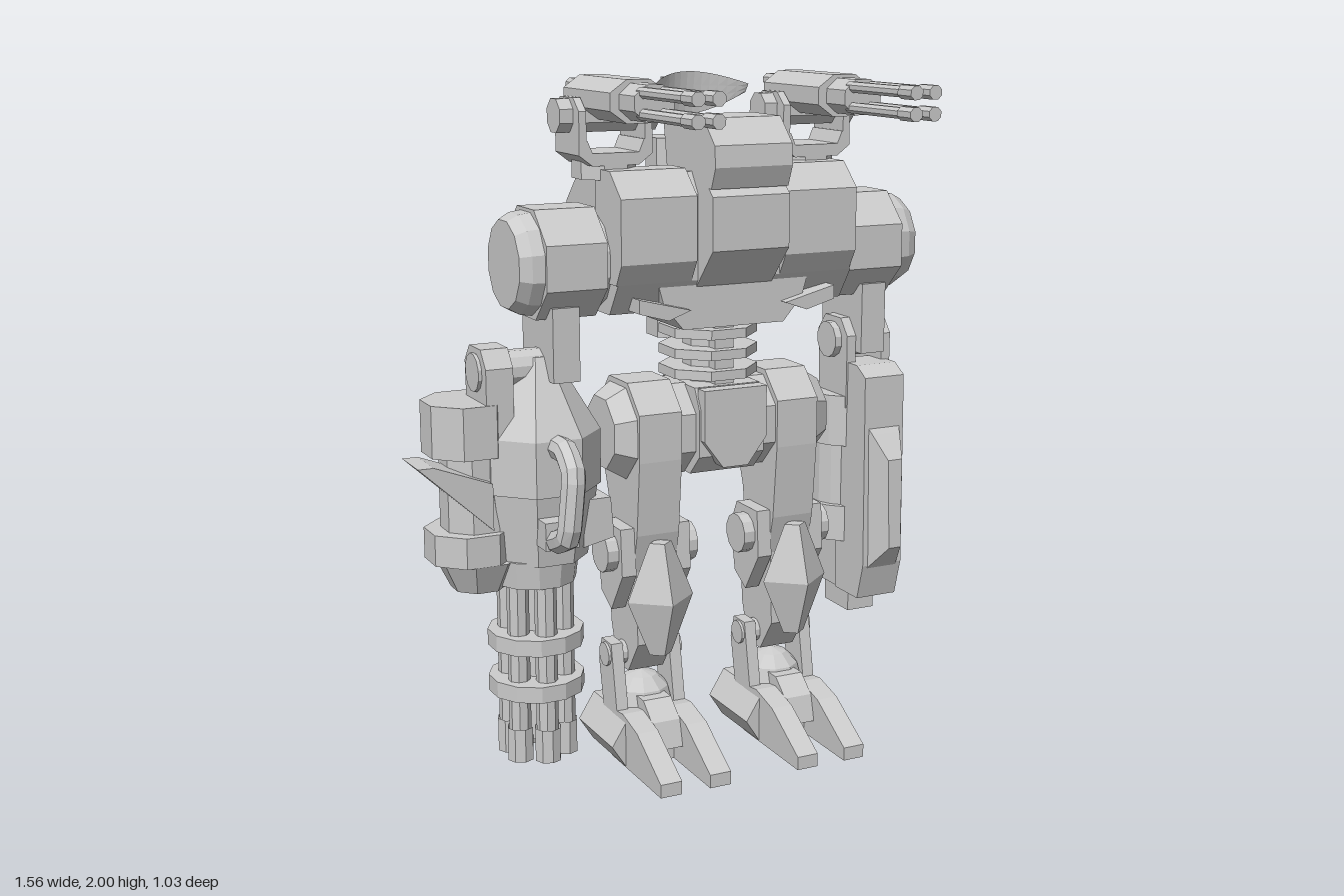
import * as THREE from 'three';

const mat = new THREE.MeshStandardMaterial({ color: 0xcccccc, flatShading: true, side: THREE.DoubleSide });
const CX = 0.1425; // body axis
const CZ = -0.135; // joint axis depth

export function createModel() {
  const root = new THREE.Group();
  root.name = 'walkerRobot';
  let parent = root;

  const group = (name) => {
    parent = new THREE.Group();
    parent.name = name;
    root.add(parent);
    return parent;
  };
  const add = (name, geo, x = 0, y = 0, z = 0) => {
    const m = new THREE.Mesh(geo, mat);
    m.name = name;
    m.position.set(x, y, z);
    parent.add(m);
    return m;
  };
  // box from its limits
  const box = (name, x0, x1, y0, y1, z0, z1) =>
    add(name, new THREE.BoxGeometry(Math.abs(x1 - x0), y1 - y0, z1 - z0), (x0 + x1) / 2, (y0 + y1) / 2, (z0 + z1) / 2);
  const extrude = (pts, depth) =>
    new THREE.ExtrudeGeometry(new THREE.Shape(pts.map((p) => new THREE.Vector2(...p))), { depth, bevelEnabled: false });
  // side profile [z, y] swept along x
  const prismX = (name, pts, x0, x1) =>
    add(name, extrude(pts, Math.abs(x1 - x0)).rotateY(-Math.PI / 2), Math.max(x0, x1));
  // front profile [x, y] swept along z
  const prismZ = (name, pts, z0, z1) => add(name, extrude(pts, z1 - z0), 0, 0, z0);
  // cylinders along each axis; r0 belongs to the first limit, r1 to the second
  const cylY = (name, r0, r1, y0, y1, x, z, n = 8) =>
    add(name, new THREE.CylinderGeometry(r1, r0, y1 - y0, n, 1, false, Math.PI / n), x, (y0 + y1) / 2, z);
  const cylX = (name, r0, r1, x0, x1, y, z, n = 8) => {
    const [a, b, ra, rb] = x0 < x1 ? [x0, x1, r0, r1] : [x1, x0, r1, r0];
    return add(name, new THREE.CylinderGeometry(rb, ra, b - a, n, 1, false, Math.PI / n).rotateZ(-Math.PI / 2), (a + b) / 2, y, z);
  };
  const cylZ = (name, r0, r1, z0, z1, x, y, n = 8) =>
    add(name, new THREE.CylinderGeometry(r1, r0, z1 - z0, n, 1, false, Math.PI / n).rotateX(Math.PI / 2), x, y, (z0 + z1) / 2);

  // ---- torso ----
  group('torso');
  prismX('torsoCore', [[0.0, 1.74], [-0.24, 1.72], [-0.32, 1.64], [-0.32, 1.43], [-0.25, 1.35], [-0.02, 1.35], [0.04, 1.44], [0.04, 1.68]], CX - 0.365, CX + 0.375);
  for (const s of [-1, 1])
    prismX('chestBlock', [[0.0, 1.75], [0.075, 1.68], [0.075, 1.5], [0.04, 1.44], [-0.1, 1.44], [-0.1, 1.75]], CX + s * 0.14, CX + s * 0.37);
  prismX('chestPlate', [[0.06, 1.74], [0.13, 1.68], [0.13, 1.53], [0.03, 1.42], [-0.1, 1.42], [-0.1, 1.74]], CX - 0.12, CX + 0.12);
  prismZ('belly', [[CX - 0.24, 1.44], [CX + 0.24, 1.44], [CX + 0.22, 1.37], [CX + 0.16, 1.3], [CX - 0.16, 1.3], [CX - 0.22, 1.37]], -0.25, 0.03);
  for (const s of [-1, 1])
    prismZ('bellyFin', [[CX + s * 0.15, 1.36], [CX + s * 0.31, 1.4], [CX + s * 0.31, 1.36], [CX + s * 0.22, 1.335]], -0.02, 0.06);
  cylY('neck', 0.1, 0.1, 1.72, 1.78, CX, -0.1);
  prismX('head', [[0.07, 1.89], [0.14, 1.82], [0.145, 1.76], [0.12, 1.7], [-0.16, 1.74], [-0.18, 1.86], [-0.1, 1.89]], CX - 0.12, CX + 0.12);

  // ---- back pack with guard rails and antenna ----
  group('backPack');
  cylY('packColumn', 0.1, 0.1, 1.22, 1.81, CX, -0.325);
  cylY('packBody', 0.145, 0.145, 1.36, 1.66, CX, -0.315);
  for (const s of [-1, 1]) box('packMount', CX + s * 0.12, CX + s * 0.28, 1.4, 1.64, -0.36, -0.28);
  for (const y of [1.445, 1.585]) {
    const pts = [[-0.2, -0.3], [-0.2, -0.42], [-0.14, -0.485], [0.14, -0.485], [0.2, -0.42], [0.2, -0.3]];
    const path = new THREE.CurvePath();
    const v = pts.map((p) => new THREE.Vector3(CX + p[0], y, p[1]));
    for (let i = 0; i < 5; i++) path.add(new THREE.LineCurve3(v[i], v[i + 1]));
    add('guardRail', new THREE.TubeGeometry(path, 40, 0.031, 8));
  }
  cylY('mast', 0.026, 0.026, 1.8, 1.95, CX, -0.34);
  box('mastHead', CX - 0.035, CX + 0.035, 1.9, 1.98, -0.38, -0.3);
  // curved antenna panel
  const dish = new THREE.PlaneGeometry(2, 1, 14, 3);
  const p = dish.attributes.position;
  for (let i = 0; i < p.count; i++) {
    const u = p.getX(i), t = p.getY(i) + 0.5, k = 1 - u * u;
    p.setXYZ(i, CX + u * 0.152, THREE.MathUtils.lerp(1.94 - 0.065 * k, 1.965 + 0.035 * k, t), -0.2 - 0.09 * k + 0.02 * t);
  }
  add('antennaDish', dish);

  // ---- shoulder guns ----
  for (const s of [-1, 1]) {
    const x = CX - 0.01 + s * 0.3175, y = 1.942;
    group('shoulderGun');
    cylZ('gunBody', 0.09, 0.09, -0.22, 0.1, x, y).scale.y = 0.7;
    cylZ('gunCollar', 0.062, 0.062, 0.1, 0.2, x, y).scale.y = 0.85;
    for (const [a, b] of [[-1, -1], [1, -1], [-1, 1], [1, 1]]) {
      const bx = x + a * 0.029, by = y + b * 0.028;
      cylZ('gunBarrel', 0.016, 0.016, 0.18, 0.48, bx, by);
      cylZ('gunMuzzle', 0.02, 0.02, 0.45, 0.515, bx, by);
      cylZ('gunBreech', 0.02, 0.02, -0.29, -0.2, bx, by);
    }
    cylX('gunPivot', 0.05, 0.05, x - 0.15, x + 0.15, 1.895, CZ);
    for (const t of [-1, 1])
      prismX('gunBracket', [[-0.05, 1.91], [-0.09, 1.945], [-0.18, 1.945], [-0.22, 1.91], [-0.22, 1.8], [-0.05, 1.8]], x + t * 0.088, x + t * 0.11);
    prismZ('gunYoke', [[x - 0.11, 1.83], [x - 0.11, 1.79], [x - 0.07, 1.76], [x + 0.07, 1.76], [x + 0.11, 1.79], [x + 0.11, 1.83], [x + 0.085, 1.83], [x + 0.07, 1.795], [x - 0.07, 1.795], [x - 0.085, 1.83]], -0.22, -0.05);
    cylY('gunBase', 0.09, 0.09, 1.72, 1.77, x, CZ);
  }

  // ---- shoulders and upper arms ----
  for (const s of [-1, 1]) {
    group(s > 0 ? 'leftShoulder' : 'rightShoulder');
    const at = (d) => CX + s * d;
    cylX('shoulderJoint', 0.14, 0.14, at(0.35), at(0.4), 1.495, CZ, 12);
    cylX('shoulderDrum', 0.165, 0.165, at(0.385), at(0.565), 1.495, CZ, 8);
    cylX('shoulderCap', 0.148, 0.143, at(0.565), at(0.6), 1.495, CZ, 12);
    cylX('shoulderFace', 0.143, 0.125, at(0.6), at(0.632), 1.495, CZ, 12);
    box('upperArm', at(0.455), at(0.535), 1.17, 1.38, -0.25, -0.02);
  }

  const elbowPlate = [[-0.05, 1.0], [-0.05, 1.22], [-0.09, 1.27], [-0.18, 1.27], [-0.22, 1.22], [-0.21, 1.0]];
  // ---- left forearm ----
  group('leftForearm');
  cylX('elbowPivot', 0.055, 0.055, 0.545, 0.73, 1.2, CZ, 12);
  for (const x of [0.567, 0.687]) prismX('elbowBracket', elbowPlate, x, x + 0.03);
  cylY('forearmCore', 0.115, 0.115, 0.62, 1.0, 0.645, -0.165, 16);
  cylY('upperBand', 0.135, 0.135, 0.88, 1.035, 0.645, -0.165, 16);
  cylY('lowerBand', 0.135, 0.135, 0.58, 0.69, 0.645, -0.165, 16);
  prismX('forearmArmor', [[0.0, 1.14], [0.05, 1.11], [0.06, 0.53], [0.03, 0.42], [-0.1, 0.42], [-0.12, 1.14]], 0.572, 0.706);
  // ridge narrows towards its front edge
  const ridge = prismX('armorRidge', [[0.04, 0.97], [0.065, 0.94], [0.12, 0.87], [0.13, 0.6], [0.065, 0.53], [0.04, 0.5]], -1, 1);
  ridge.position.x = 0.639;
  const rp = ridge.geometry.attributes.position;
  for (let i = 0; i < rp.count; i++)
    rp.setX(i, (rp.getX(i) < -1 ? -1 : 1) * THREE.MathUtils.mapLinear(rp.getZ(i), 0.04, 0.13, 0.058, 0.02));
  prismX('lowerArmor', [[-0.03, 0.6], [-0.03, 0.46], [-0.1, 0.42], [-0.24, 0.42], [-0.26, 0.6]], 0.58, 0.705);
  box('forearmTip', 0.595, 0.685, 0.35, 0.45, -0.2, -0.06);

  // ---- right forearm with rotary gun ----
  group('rightForearm');
  const gx = -0.4;
  cylX('elbowPivot', 0.055, 0.055, -0.59, -0.36, 1.2, CZ, 12);
  prismX('elbowGuard', elbowPlate, -0.58, -0.5);
  cylY('housing', 0.18, 0.18, 0.86, 1.02, gx, CZ);
  cylY('housingTop', 0.18, 0.05, 1.02, 1.235, gx, CZ);
  cylY('housingBottom', 0.14, 0.17, 0.65, 0.86, gx, CZ);
  prismZ('backPlate', [[-0.55, 0.66], [-0.52, 0.62], [-0.3, 0.62], [-0.25, 0.68], [-0.25, 1.04], [-0.33, 1.12], [-0.52, 1.12], [-0.55, 1.06]], -0.285, -0.14);
  for (const y of [0.69, 1.02]) for (let i = 0; i < 3; i++) box('vent', -0.46, -0.35, y + i * 0.033, y + i * 0.033 + 0.022, -0.305, -0.28);
  prismZ('innerBlock', [[-0.3, 0.82], [-0.215, 0.82], [-0.205, 0.7], [-0.3, 0.68]], -0.2, -0.04);
  // outer armour drum, bands and blade
  cylY('outerDrum', 0.1, 0.1, 0.64, 1.08, -0.58, -0.165);
  cylY('outerUpperBand', 0.128, 0.128, 0.97, 1.12, -0.6, -0.165);
  cylY('outerLowerBand', 0.128, 0.128, 0.66, 0.75, -0.6, -0.165);
  cylY('outerDrumBase', 0.08, 0.125, 0.57, 0.66, -0.575, -0.165);
  prismZ('blade', [[-0.785, 0.965], [-0.74, 0.965], [-0.57, 0.9], [-0.57, 0.765]], -0.18, -0.04);
  // front grip
  const grip = new THREE.CatmullRomCurve3([[1.0, 0.0], [1.0, 0.08], [0.95, 0.145], [0.78, 0.145], [0.745, 0.07]].map(([y, z]) => new THREE.Vector3(-0.41 + (y - 0.9) * 0.1, y, z)), false, 'catmullrom', 0.15);
  add('frontGrip', new THREE.TubeGeometry(grip, 16, 0.035, 8));
  box('gripMount', -0.46, -0.36, 0.72, 0.8, -0.05, 0.07);
  // rotary barrels
  const rx = -0.415;
  cylY('gunSpindle', 0.05, 0.05, 0.1, 0.66, rx, CZ);
  for (let i = 0; i < 6; i++) {
    const a = (i / 6) * Math.PI * 2, x = rx + 0.08 * Math.sin(a), z = CZ + 0.08 * Math.cos(a);
    cylY('rotaryBarrel', 0.032, 0.032, 0.1, 0.66, x, z);
    add('rotaryMuzzle', new THREE.CylinderGeometry(0.039, 0.039, 0.1, 8, 1, true), x, 0.1, z);
  }
  for (const y of [0.27, 0.41]) cylY('barrelRing', 0.14, 0.14, y - 0.024, y + 0.024, rx, CZ, 12);
  cylY('barrelCollar', 0.12, 0.13, 0.58, 0.66, rx, CZ, 12);

  // ---- waist and pelvis ----
  group('waist');
  cylY('spine', 0.075, 0.075, 1.08, 1.34, CX, CZ);
  for (const y of [1.15, 1.21, 1.27]) cylY('spineDisc', 0.145, 0.145, y - 0.014, y + 0.014, CX, CZ, 8);
  box('spinePlate', CX - 0.03, CX + 0.03, 1.1, 1.32, -0.07, -0.03);
  prismX('pelvis', [[-0.01, 1.12], [0.02, 1.06], [0.02, 0.92], [-0.04, 0.86], [-0.22, 0.86], [-0.28, 0.94], [-0.28, 1.06], [-0.22, 1.12]], CX - 0.105, CX + 0.105);
  prismZ('pelvisPlate', [[CX - 0.1, 1.12], [CX + 0.1, 1.12], [CX + 0.1, 0.97], [CX + 0.04, 0.89], [CX - 0.04, 0.89], [CX - 0.1, 0.97]], 0, 0.045);

  // ---- legs ----
  for (const s of [-1, 1]) {
    const leg = group(s > 0 ? 'leftLeg' : 'rightLeg');
    leg.position.x = CX + s * 0.2225;
    cylX('hipDrum', 0.145, 0.145, -s * 0.12, s * 0.07, 0.99, CZ);
    cylX('hipCap', 0.145, 0.11, s * 0.07, s * 0.125, 0.99, CZ);
    prismX('thigh', [[-0.07, 1.14], [-0.2, 1.14], [-0.26, 1.07], [-0.26, 0.92], [-0.2, 0.75], [-0.19, 0.58], [-0.04, 0.58], [-0.01, 0.7], [0.01, 0.92], [0.01, 1.06]], -0.067, 0.067);
    cylX('kneePivot', 0.06, 0.06, -0.145, 0.145, 0.64, -0.1, 12);
    for (const t of [-1, 1]) {
      prismX('kneeSide', [[-0.03, 0.72], [-0.16, 0.72], [-0.2, 0.64], [-0.17, 0.5], [-0.1, 0.46], [-0.02, 0.58]], t * 0.065, t * 0.11);
      prismX('ankleBracket', [[-0.1, 0.35], [-0.17, 0.35], [-0.19, 0.28], [-0.16, 0.14], [-0.06, 0.14]], t * 0.075, t * 0.112);
    }
    // diamond knee guard with a front ridge
    const guard = new THREE.LatheGeometry([[0, 0.34], [0.035, 0.34], [0.105, 0.51], [0.035, 0.68], [0, 0.68]].map((a) => new THREE.Vector2(...a)), 4);
    add('kneeGuard', guard, 0, 0, 0.005).scale.z = 0.8;
    prismX('shin', [[-0.04, 0.6], [-0.19, 0.6], [-0.23, 0.5], [-0.22, 0.38], [-0.18, 0.26], [-0.1, 0.26], [-0.03, 0.36]], -0.057, 0.057);
    cylX('anklePivot', 0.036, 0.036, -0.12, 0.12, 0.31, CZ, 12);
    add('ankleBall', new THREE.SphereGeometry(0.095, 10, 6), 0, 0.15, CZ);
    // foot
    prismZ('footBody', [[-0.155, 0.07], [-0.11, 0], [0.11, 0], [0.155, 0.07], [0.105, 0.15], [-0.105, 0.15]], -0.25, 0.0);
    prismX('heel', [[-0.35, 0], [-0.35, 0.05], [-0.24, 0.14], [-0.1, 0.15], [-0.1, 0]], -0.065, 0.065);
    prismX('instep', [[0.06, 0.06], [0.04, 0.14], [-0.02, 0.19], [-0.12, 0.19], [-0.12, 0.06]], -0.045, 0.045);
    for (const t of [-1, 1])
      prismX('toe', [[0.24, 0], [0.24, 0.04], [0.08, 0.135], [-0.02, 0.16], [-0.1, 0.15], [-0.1, 0]], t * 0.045, t * 0.112);
  }
  return root;
}
